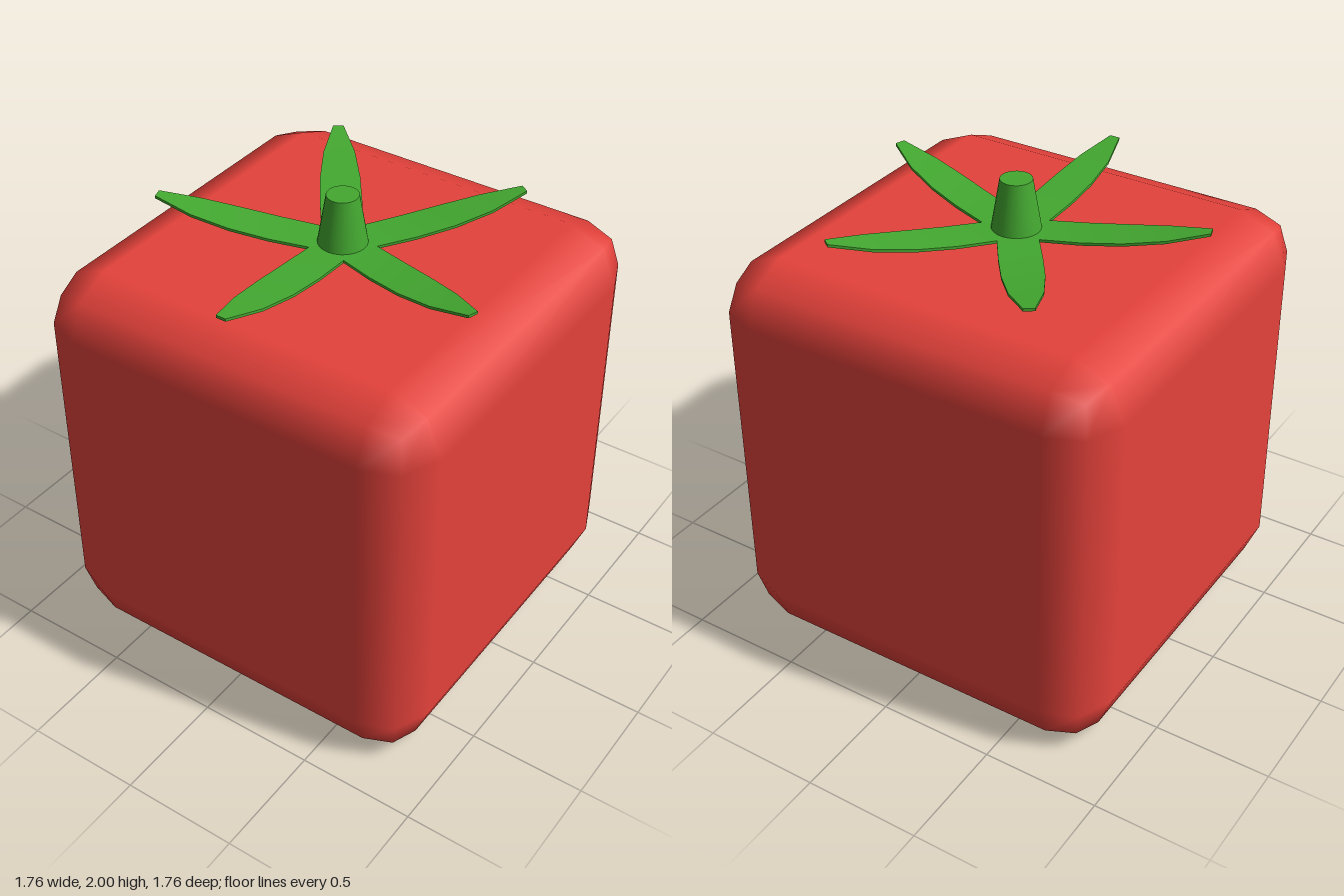
import * as THREE from 'three';
import { RoundedBoxGeometry } from 'three/addons/geometries/RoundedBoxGeometry.js';

const SIZE = 1.76;

// One sepal: a thin slab along +z, tapered to the tip and curling upward
function sepalGeometry() {
  const reach = [0, 0.115, 0.28, 0.445, 0.61, 0.776];
  const halfWidth = [0.07, 0.083, 0.086, 0.083, 0.066, 0.022];
  const steps = reach.length - 1;
  const geometry = new THREE.BoxGeometry(2, 0.012, 1, 2, 1, steps);
  const p = geometry.attributes.position;
  for (let i = 0; i < p.count; i++) {
    const k = Math.round((p.getZ(i) + 0.5) * steps);
    const lift = 0.142 * reach[k] ** 2;
    p.setXYZ(i, p.getX(i) * halfWidth[k], p.getY(i) + lift, reach[k]);
  }
  geometry.computeVertexNormals();
  return geometry;
}

export function createModel() {
  const red = new THREE.MeshStandardMaterial({ color: 0xe5423b });
  red.name = 'tomatoRed';
  const green = new THREE.MeshStandardMaterial({ color: 0x43a830 });
  green.name = 'leafGreen';

  const model = new THREE.Group();
  model.name = 'cubeTomato';

  // Body with softly rounded edges
  const body = new THREE.Mesh(new RoundedBoxGeometry(SIZE, SIZE, SIZE, 1, 0.22), red);
  body.name = 'body';
  body.position.y = SIZE / 2;
  model.add(body);

  // Tapered stem
  const stem = new THREE.Mesh(new THREE.CylinderGeometry(0.066, 0.108, 0.25, 24), green);
  stem.name = 'stem';
  stem.position.y = 2 - 0.125;
  model.add(stem);

  // Five sepals in a star, one pointing to the front
  const sepals = new THREE.Group();
  sepals.name = 'sepals';
  const geometry = sepalGeometry();
  for (let i = 0; i < 5; i++) {
    const sepal = new THREE.Mesh(geometry, green);
    sepal.name = 'sepal' + (i + 1);
    sepal.position.y = 1.781;
    sepal.rotation.y = (i * Math.PI * 2) / 5;
    sepals.add(sepal);
  }
  model.add(sepals);

  return model;
}
